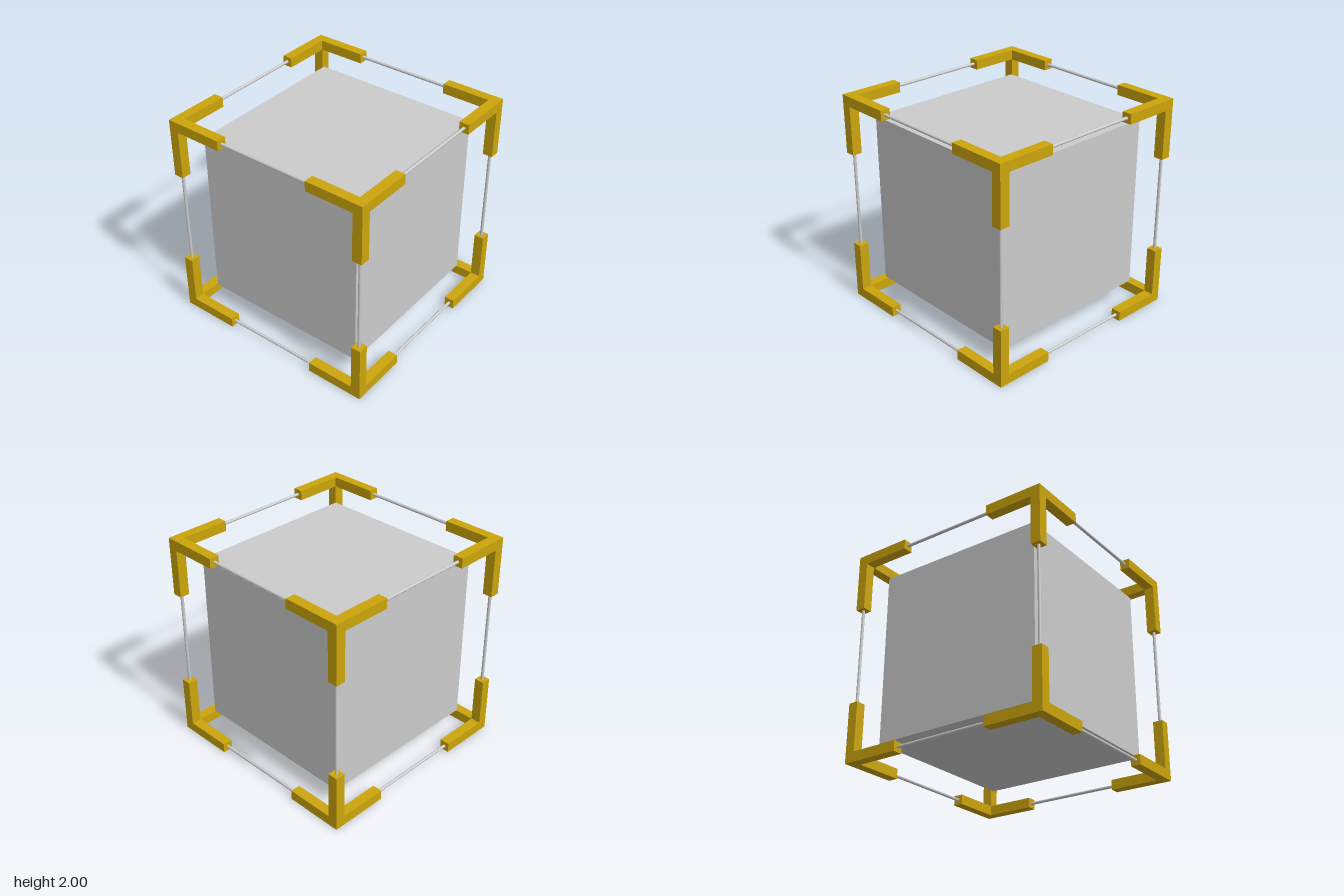
import * as THREE from 'three';

export function createModel() {
  const model = new THREE.Group();
  model.name = 'framedCube';

  const gold = new THREE.MeshStandardMaterial({ color: 0xcca50c });
  gold.name = 'gold';
  const grey = new THREE.MeshStandardMaterial({ color: 0xcccccc });
  grey.name = 'light grey';

  const T = 0.092;          // bracket thickness
  const ARM = 0.546;        // bracket arm length, measured from the outer corner
  const MID = 1 - T / 2;    // centre line of the frame edges
  const ROD = 2 * (1 - ARM) + 0.04;
  const AXES = ['x', 'y', 'z'];

  const add = (parent, name, geometry, material) => {
    const mesh = new THREE.Mesh(geometry, material);
    mesh.name = name;
    parent.add(mesh);
    return mesh;
  };

  // Solid core floating in the middle of the frame
  add(model, 'core', new THREE.BoxGeometry(1.61, 1.61, 1.61), grey).position.y = 1;

  // Eight corner brackets, each a corner block with three arms
  const blockGeo = new THREE.BoxGeometry(T, T, T);
  const armGeos = AXES.map((_, i) => {
    const size = [T, T, T];
    size[i] = ARM - T;
    return new THREE.BoxGeometry(...size);
  });
  for (const sx of [-1, 1]) for (const sy of [-1, 1]) for (const sz of [-1, 1]) {
    const bracket = new THREE.Group();
    bracket.name = 'cornerBracket';
    bracket.position.set(sx * MID, 1 + sy * MID, sz * MID);
    add(bracket, 'cornerBlock', blockGeo, gold);
    [sx, sy, sz].forEach((s, i) => {
      add(bracket, 'bracketArm', armGeos[i], gold).position[AXES[i]] = -s * ARM / 2;
    });
    model.add(bracket);
  }

  // Twelve thin rods joining the brackets along the edges
  const rodGeo = new THREE.CylinderGeometry(0.014, 0.014, ROD, 12);
  AXES.forEach((axis, i) => {
    const [u, v] = AXES.filter((a) => a !== axis);
    for (const su of [-1, 1]) for (const sv of [-1, 1]) {
      const rod = add(model, 'edgeRod', rodGeo, grey);
      rod.position[u] = su * MID;
      rod.position[v] = sv * MID;
      rod.position.y += 1;
      if (i === 0) rod.rotation.z = Math.PI / 2;
      if (i === 2) rod.rotation.x = Math.PI / 2;
    }
  });

  return model;
}
